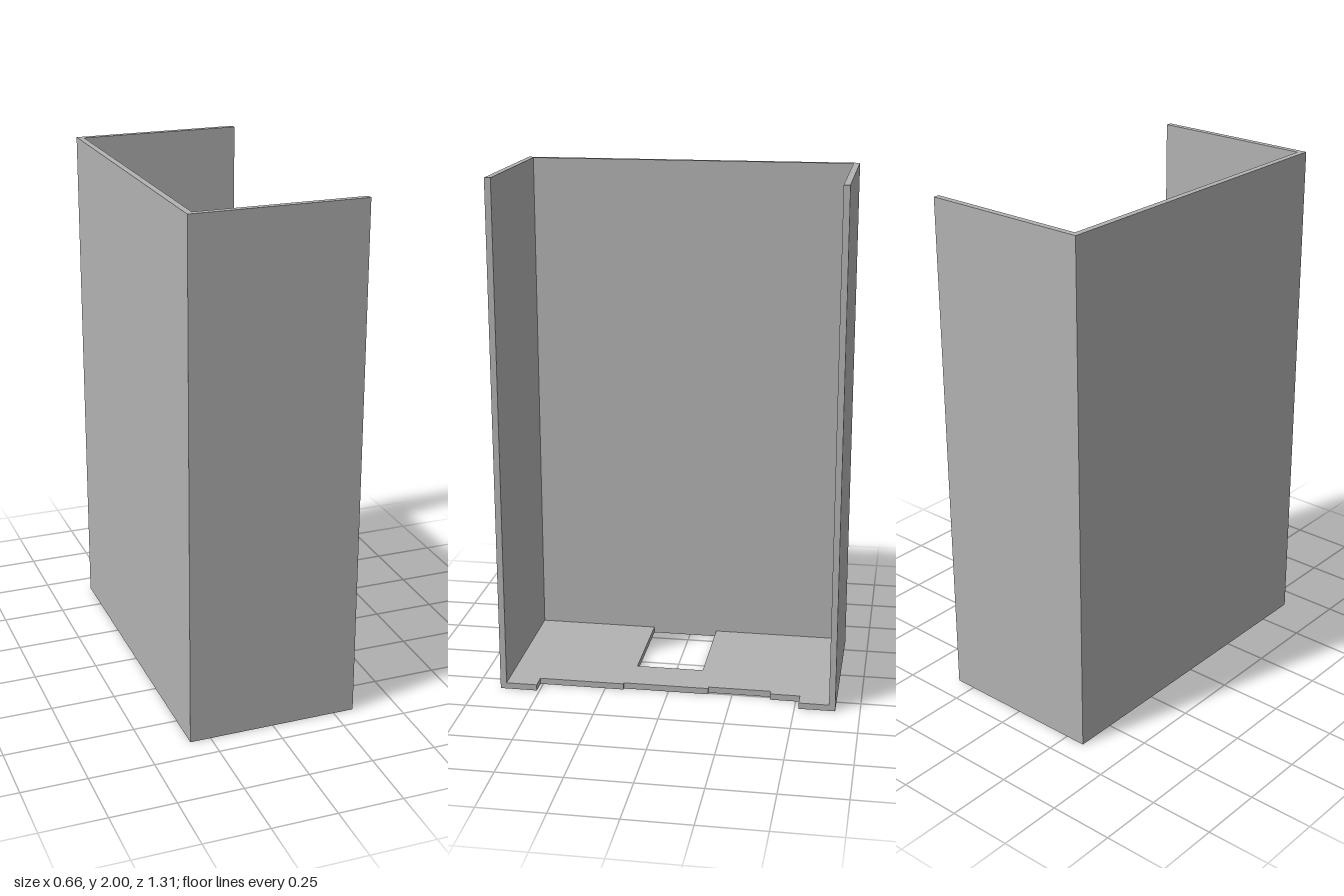
import * as THREE from 'three';

const X = 0.33, Z = 0.656, T = 0.024, HEIGHT = 2;
const grey = new THREE.MeshStandardMaterial({ name: 'grey', color: 0xb2b2b2 });

// Extrudes a plan outline of [x, z] points upward from y = 0
function extrudePlan(name, points, height) {
  const shape = new THREE.Shape(points.map(([x, z]) => new THREE.Vector2(x, -z)));
  const geometry = new THREE.ExtrudeGeometry(shape, { depth: height, bevelEnabled: false });
  geometry.rotateX(-Math.PI / 2);
  const mesh = new THREE.Mesh(geometry, grey);
  mesh.name = name;
  return mesh;
}

export function createModel() {
  const group = new THREE.Group();
  group.name = 'openHousing';

  // Three walls in a U, open towards +x and at the top
  group.add(extrudePlan('walls', [
    [-X, -Z], [X, -Z], [X, -Z + T], [-X + T, -Z + T],
    [-X + T, Z - T], [X, Z - T], [X, Z], [-X, Z],
  ], HEIGHT));

  // Floor with a stepped open edge and a rectangular cut-out against the long wall
  group.add(extrudePlan('floor', [
    [-X + T, -Z + T], [X, -Z + T], [X, -0.516], [0.268, -0.516],
    [0.268, -0.4], [0.244, -0.4], [0.244, -0.157], [0.258, -0.157],
    [0.258, 0.177], [0.268, 0.177], [0.268, 0.511], [X, 0.511],
    [X, Z - T], [-X + T, Z - T],
    [-X + T, 0.153], [0.094, 0.153], [0.094, -0.112], [-X + T, -0.112],
  ], T));

  return group;
}
